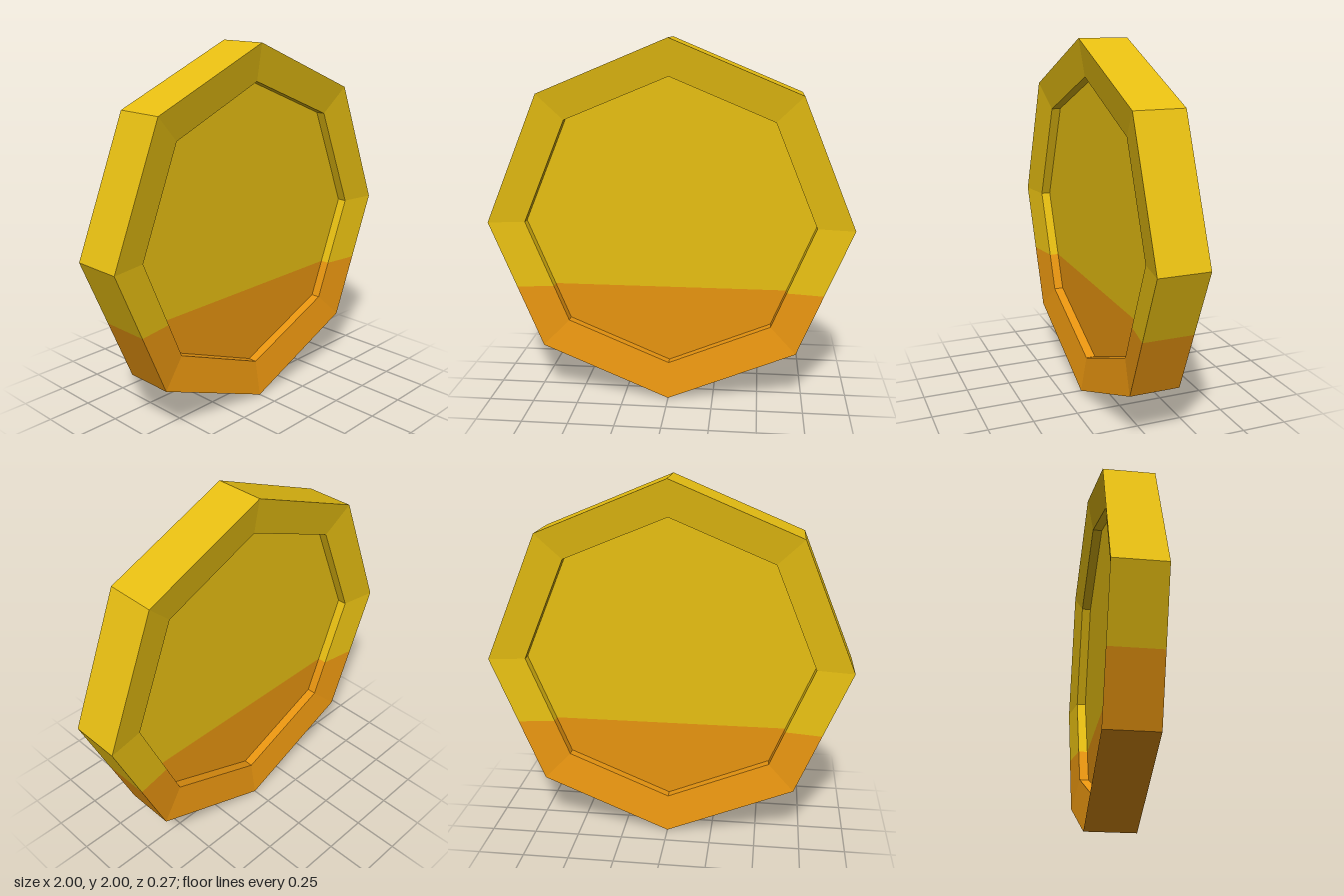
import * as THREE from 'three';

const CENTER_Y = 1;
const SPLIT = 0.634 - CENTER_Y; // height of the colour change, from the centre

// Ring profile [radius, z] from the front recess over the rim to the back recess
const PROFILE = [
  [0.8, 0.051], [0.8, 0.103], [1, 0.137],
  [1, -0.137], [0.8, -0.103], [0.8, -0.051],
];

// Counter-clockwise part of an octagon above or below the colour change
function arc(radius, upper) {
  const corner = (i) => new THREE.Vector2(
    radius * Math.cos(i * Math.PI / 4), radius * Math.sin(i * Math.PI / 4));
  const a = corner(0), b = corner(7);
  const x = THREE.MathUtils.mapLinear(SPLIT, a.y, b.y, a.x, b.x);
  const right = new THREE.Vector2(x, SPLIT), left = new THREE.Vector2(-x, SPLIT);
  return upper
    ? [right, ...[0, 1, 2, 3, 4].map(corner), left]
    : [left, ...[5, 6, 7].map(corner), right];
}

function flatGeometry(triangles) {
  const geometry = new THREE.BufferGeometry().setFromPoints(triangles);
  geometry.computeVertexNormals();
  return geometry;
}

const lift = (p, z) => new THREE.Vector3(p.x, p.y + CENTER_Y, z);

// Sloped rim with outer edge and recess walls
function rimGeometry(upper) {
  const rings = PROFILE.map(([r, z]) => arc(r, upper).map((p) => lift(p, z)));
  const triangles = [];
  for (let j = 0; j < rings.length - 1; j++) {
    const a = rings[j], b = rings[j + 1];
    for (let i = 0; i < a.length - 1; i++) {
      triangles.push(a[i], b[i], b[i + 1], a[i], b[i + 1], a[i + 1]);
    }
  }
  return flatGeometry(triangles);
}

// Recessed flat face, as a fan
function faceGeometry(upper, front) {
  const [r, z] = PROFILE[front ? 0 : PROFILE.length - 1];
  const points = arc(r, upper).map((p) => lift(p, z));
  if (!front) points.reverse();
  const triangles = [];
  for (let i = 1; i < points.length - 1; i++) {
    triangles.push(points[0], points[i], points[i + 1]);
  }
  return flatGeometry(triangles);
}

export function createModel() {
  const model = new THREE.Group();
  model.name = 'coin';
  const yellow = new THREE.MeshStandardMaterial({ color: 0xf0c613, flatShading: true });
  yellow.name = 'goldYellow';
  const orange = new THREE.MeshStandardMaterial({ color: 0xf09a11, flatShading: true });
  orange.name = 'goldOrange';

  for (const upper of [true, false]) {
    const material = upper ? yellow : orange;
    const prefix = upper ? 'upper' : 'lower';
    const add = (name, geometry) => {
      const mesh = new THREE.Mesh(geometry, material);
      mesh.name = prefix + name;
      model.add(mesh);
    };
    add('Rim', rimGeometry(upper));
    add('FrontFace', faceGeometry(upper, true));
    add('BackFace', faceGeometry(upper, false));
  }
  return model;
}
